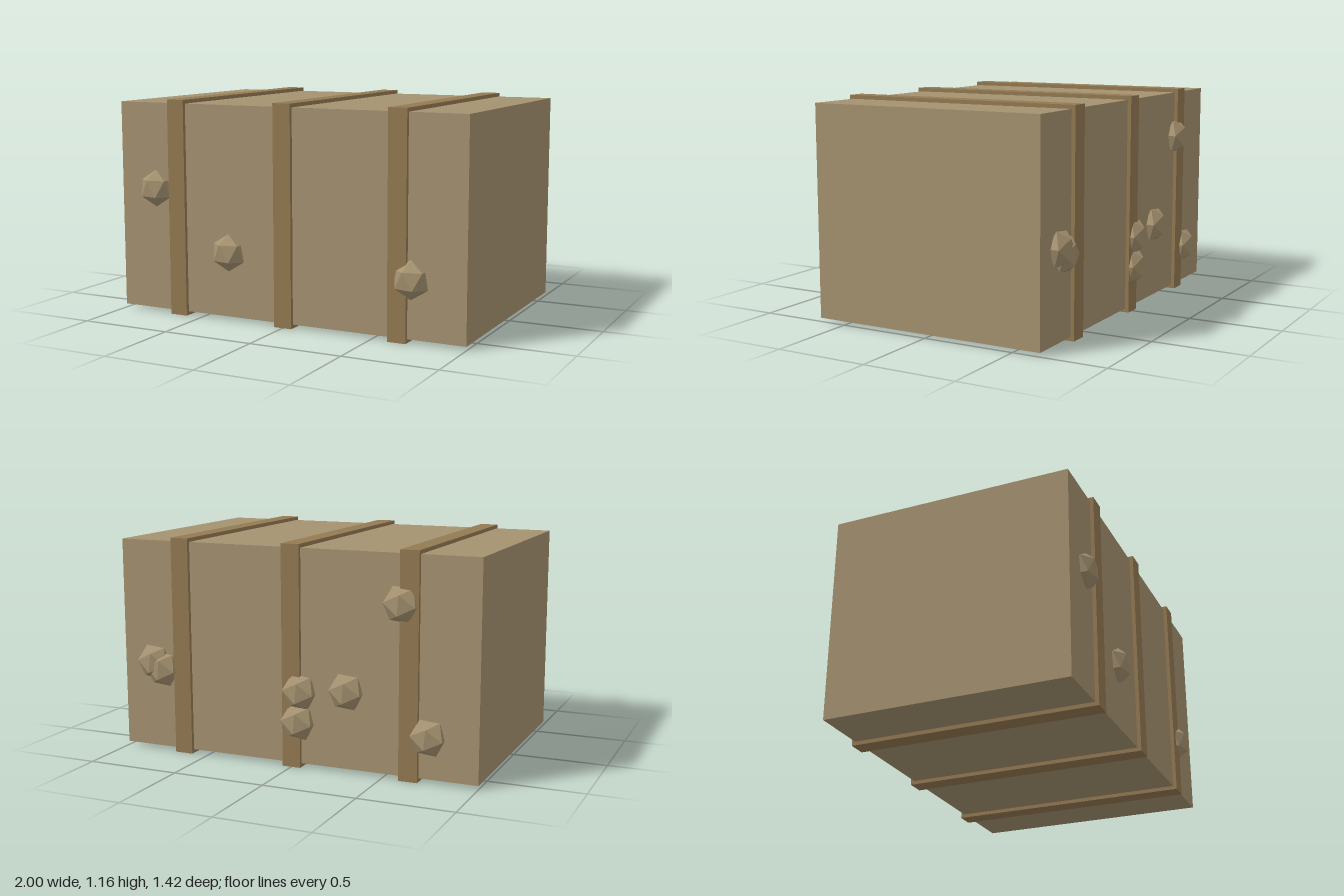
import * as THREE from 'three';

export function createModel() {
  const model = new THREE.Group();
  model.name = 'strappedBale';
  const bodyMat = new THREE.MeshStandardMaterial({ color: 0xa59270, flatShading: true });
  const strapMat = new THREE.MeshStandardMaterial({ color: 0x937a52, flatShading: true });

  const add = (name, geometry, material, x, y, z) => {
    const mesh = new THREE.Mesh(geometry, material);
    mesh.name = name;
    mesh.position.set(x, y, z);
    model.add(mesh);
    return mesh;
  };

  // Main block, raised by the thickness of the straps
  add('body', new THREE.BoxGeometry(2, 1.12, 1.3), bodyMat, 0, 0.58, 0);

  // Three straps wrapped all the way round
  const strapGeo = new THREE.BoxGeometry(0.1, 1.16, 1.34);
  for (const x of [-0.64, 0, 0.64]) add('strap', strapGeo, strapMat, x, 0.58, 0);

  // Faceted lumps, flattened against the front and back faces: [x, y, turn]
  const lumpGeo = new THREE.IcosahedronGeometry(0.1, 0);
  const addLumps = (name, z, list) => {
    for (const [x, y, turn] of list) {
      const lump = add(name, lumpGeo, bodyMat, x, y, z);
      lump.scale.z = 0.62;
      lump.rotation.z = turn;
    }
  };
  addLumps('frontLump', 0.655, [
    [-0.78, 0.68, 0.55], [-0.33, 0.365, 0.55], [0.71, 0.32, 0.55],
  ]);
  addLumps('backLump', -0.66, [
    [0.765, 0.45, 0.1], [0.815, 0.485, 0.1],
    [-0.045, 0.4, 0.1], [-0.035, 0.24, 0.1],
    [-0.305, 0.425, 0.1], [-0.595, 0.89, 0.1], [-0.74, 0.235, 0.1],
  ]);

  return model;
}
